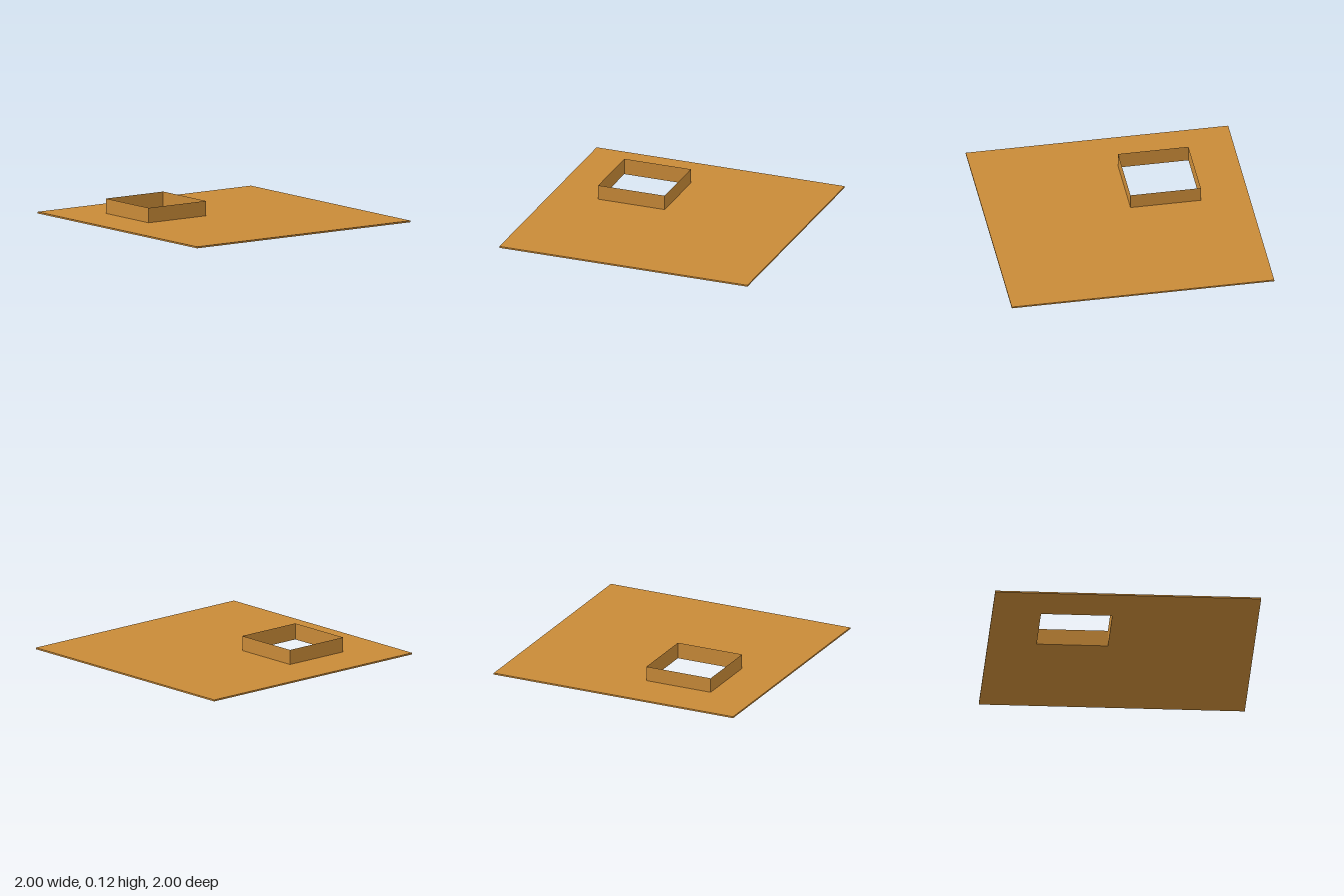
import * as THREE from 'three';

export function createModel() {
  const model = new THREE.Group();
  const color = 0xc88a38;
  const slabHeight = 0.012, top = 0.125;
  const cx = -0.365, cz = 0.365, half = 0.268;

  // Rectangle outline centred on (x, y)
  const square = (path, x, y, h) => path
    .moveTo(x - h, y - h).lineTo(x + h, y - h)
    .lineTo(x + h, y + h).lineTo(x - h, y + h).closePath();

  // Thin square slab with a square opening
  const outline = new THREE.Shape();
  square(outline, 0, 0, 1);
  const opening = new THREE.Path();
  square(opening, cx, -cz, half);
  outline.holes.push(opening);
  const slab = new THREE.Mesh(
    new THREE.ExtrudeGeometry(outline, { depth: slabHeight, bevelEnabled: false }).rotateX(-Math.PI / 2),
    new THREE.MeshStandardMaterial({ color })
  );
  slab.name = 'slab';
  model.add(slab);

  // Four upright thin walls around the opening
  const curb = new THREE.Group();
  curb.name = 'openingCurb';
  curb.position.set(cx, 0, cz);
  const wallMaterial = new THREE.MeshStandardMaterial({ color, side: THREE.DoubleSide });
  const wallHeight = top - slabHeight;
  const wallGeometry = new THREE.PlaneGeometry(2 * half, wallHeight)
    .translate(0, slabHeight + wallHeight / 2, half);
  ['frontWall', 'leftWall', 'backWall', 'rightWall'].forEach((name, i) => {
    const wall = new THREE.Mesh(wallGeometry, wallMaterial);
    wall.name = name;
    wall.rotation.y = i * Math.PI / 2;
    curb.add(wall);
  });
  model.add(curb);

  return model;
}
